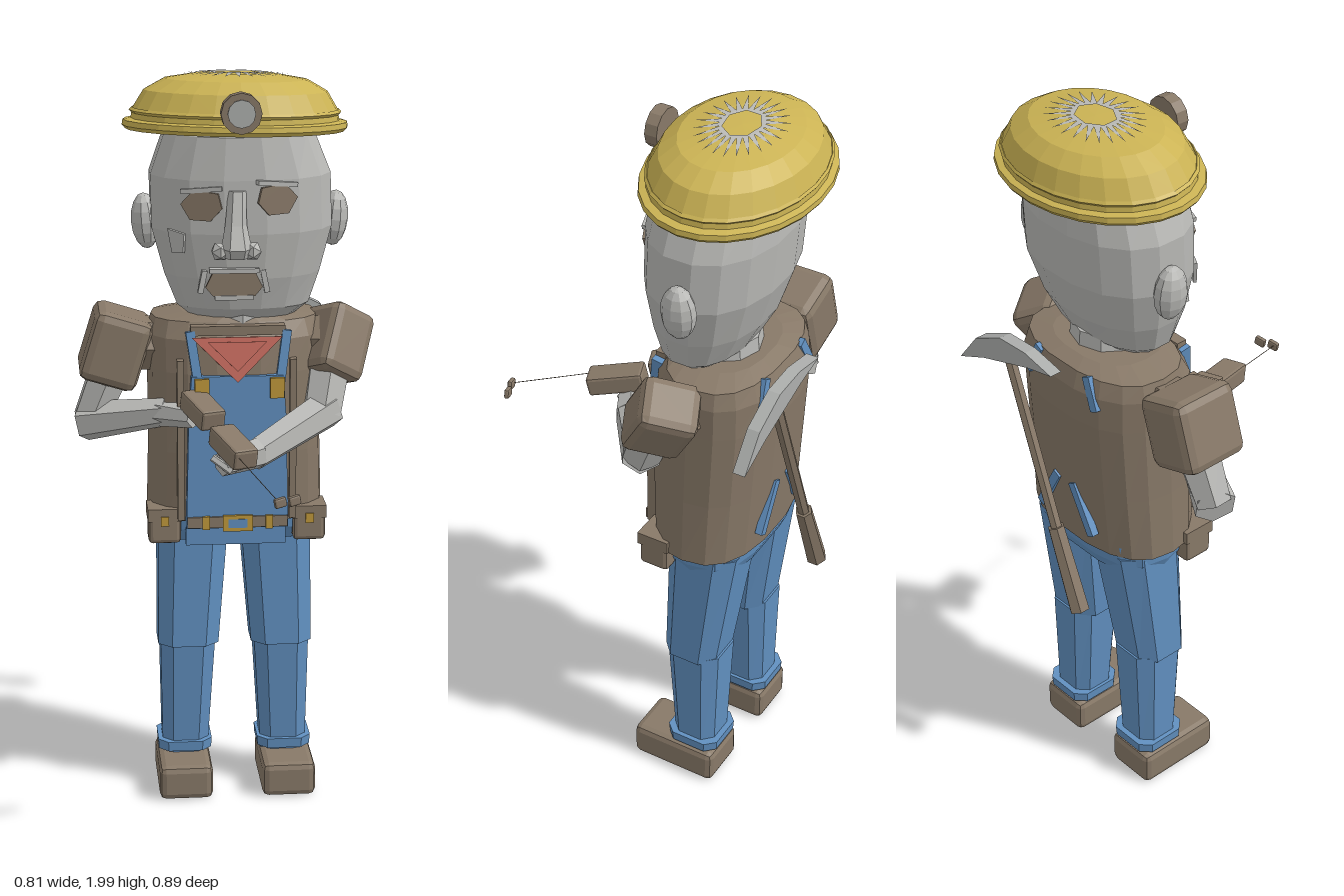
import * as THREE from 'three';
import { RoundedBoxGeometry } from 'three/addons/geometries/RoundedBoxGeometry.js';

const mat = (name, color) => Object.assign(new THREE.MeshStandardMaterial({ color }), { name });
const M = {
  skin: mat('grey skin', 0xb9b9b6),
  brown: mat('brown leather', 0x887968),
  blue: mat('denim blue', 0x6190c0),
  yellow: mat('helmet yellow', 0xcbb354),
  gold: mat('buckle gold', 0xc0993c),
  red: mat('bandana red', 0xc4695c),
  steel: mat('steel', 0xadafad),
};
M.steel.side = THREE.DoubleSide;

const V = (a) => new THREE.Vector3(...a);

export function createModel() {
  const root = new THREE.Group();
  root.name = 'miner';

  // faceted mesh
  function add(name, geo, material, pos = [0, 0, 0], rot = [0, 0, 0], parent = root) {
    const g = geo.index ? geo.toNonIndexed() : geo;
    g.computeVertexNormals();
    const m = new THREE.Mesh(g, material);
    m.name = name;
    m.position.set(...pos);
    m.rotation.set(...rot);
    parent.add(m);
    return m;
  }
  const box = (name, size, material, pos, rot) => add(name, new THREE.BoxGeometry(...size), material, pos, rot);
  const chamfer = (name, size, r, material, pos, rot) =>
    add(name, new RoundedBoxGeometry(...size, 1, r), material, pos, rot);

  // turn a mesh so that its local y runs from b up to a
  function along(mesh, a, b) {
    const A = V(a), B = V(b);
    mesh.position.copy(A).add(B).multiplyScalar(0.5);
    mesh.quaternion.setFromUnitVectors(new THREE.Vector3(0, 1, 0), A.clone().sub(B).normalize());
    return mesh;
  }
  const limb = (name, a, b, ra, rb, material, sides = 6) =>
    along(add(name, new THREE.CylinderGeometry(ra, rb, V(a).distanceTo(V(b)), sides), material), a, b);

  // stacked superellipse rings: [y, centre x, half width, back z, front z]
  function loft(rings, n, power = 2) {
    const pos = [], idx = [];
    const bend = (v) => Math.sign(v) * Math.abs(v) ** (2 / power);
    for (const [y, cx, hw, zb, zf] of rings)
      for (let i = 0; i < n; i++) {
        const a = ((i + 0.5) / n) * Math.PI * 2;
        pos.push(cx + hw * bend(Math.sin(a)), y, (zb + zf) / 2 + ((zf - zb) / 2) * bend(Math.cos(a)));
      }
    const last = rings.length - 1;
    for (let r = 0; r < last; r++)
      for (let i = 0; i < n; i++) {
        const a = r * n + i, b = r * n + ((i + 1) % n);
        idx.push(a, b, b + n, a, b + n, a + n);
      }
    for (let i = 1; i < n - 1; i++) {
      idx.push(0, i + 1, i);
      idx.push(last * n, last * n + i, last * n + i + 1);
    }
    const g = new THREE.BufferGeometry();
    g.setAttribute('position', new THREE.Float32BufferAttribute(pos, 3));
    g.setIndex(idx);
    return g;
  }
  function plate(points, depth) {
    const s = new THREE.Shape(points.map((p) => new THREE.Vector2(...p)));
    return new THREE.ExtrudeGeometry(s, { depth, bevelEnabled: false });
  }

  // boots and legs
  for (const s of [-1, 1]) {
    const c = (off) => 0.04 + s * off;
    chamfer('boot', [0.148, 0.098, 0.248], 0.018, M.brown, [c(0.143), 0.055, -0.163]);
    add('lowerLeg', loft([[0.1, c(0.138), 0.066, -0.275, -0.148], [0.44, c(0.13), 0.08, -0.285, -0.12]], 8, 3), M.blue);
    add('upperLeg', loft([[0.43, c(0.129), 0.088, -0.278, -0.116], [0.8, c(0.112), 0.102, -0.33, -0.12]], 8, 3), M.blue);
    add('trouserCuff', loft([[0.112, c(0.139), 0.076, -0.29, -0.135], [0.14, c(0.139), 0.078, -0.292, -0.133]], 8, 4), M.blue);
  }
  add('trouserSeat', loft([[0.745, 0.04, 0.205, -0.325, -0.1], [0.78, 0.04, 0.22, -0.34, -0.08], [0.84, 0.04, 0.225, -0.345, -0.07]], 14, 3), M.blue);

  // vest, bib and neck
  add('vest', loft([
    [0.81, 0.042, 0.24, -0.352, -0.058], [1.0, 0.042, 0.235, -0.365, -0.048], [1.22, 0.042, 0.235, -0.378, -0.048],
    [1.31, 0.042, 0.236, -0.376, -0.058], [1.355, 0.042, 0.224, -0.36, -0.085], [1.37, 0.045, 0.15, -0.32, -0.1],
  ], 18, 2.5), M.brown);
  add('neck', new THREE.CylinderGeometry(0.1, 0.11, 0.1, 10), M.skin, [0.055, 1.36, -0.19]);
  add('bib', plate([[-0.137, -0.21], [0.137, -0.21], [0.13, 0.1], [0.122, 0.21], [-0.122, 0.21], [-0.13, 0.1]], 0.04), M.blue, [0.037, 1.01, -0.078]);
  box('bibFoot', [0.27, 0.08, 0.03], M.blue, [0.035, 0.785, -0.08]);
  for (const s of [-1, 1]) {
    const x = 0.042 + s * 0.118;
    box('strap', [0.024, 0.15, 0.03], M.blue, [x, 1.262, -0.062], [-0.15, 0, -s * 0.14]);
    box('strapBuckle', [0.038, 0.055, 0.012], M.gold, [0.042 + s * 0.1, 1.188, -0.034]);
    box('vestEdge', [0.018, 0.44, 0.03], M.brown, [0.037 + s * 0.15, 1.04, -0.066]);
    // crossed straps showing through the back
    box('backStrap', [0.025, 0.15, 0.02], M.blue, [0.042 + s * 0.065, 0.93, -0.359], [0, 0, s * 0.5]);
    box('shoulderStrap', [0.025, 0.09, 0.014], M.blue, [0.042 + s * 0.11, 1.315, -0.36], [0.1, 0, s * 0.45]);
  }

  // bandana
  const kerchief = [[-0.12, 0.06], [0, -0.06], [0.12, 0.06]];
  add('bandana', plate(kerchief, 0.012), M.red, [0.037, 1.262, -0.05], [-0.2, 0, 0]);
  add('bandanaFold', plate(kerchief.map(([x, y]) => [x * 0.65, y * 0.65 + 0.01]), 0.008), M.red, [0.037, 1.262, -0.041], [-0.2, 0, 0]);
  box('collar', [0.25, 0.025, 0.03], M.brown, [0.04, 1.338, -0.075]);

  // belt and pouches
  box('belt', [0.27, 0.03, 0.03], M.brown, [0.037, 0.818, -0.047]);
  box('beltBuckle', [0.08, 0.044, 0.009], M.gold, [0.037, 0.816, -0.03]);
  box('beltBuckleCentre', [0.05, 0.024, 0.006], M.blue, [0.037, 0.816, -0.027]);
  for (const s of [-1, 1]) {
    const x = 0.04 + s * 0.196;
    box('beltLoop', [0.02, 0.036, 0.009], M.gold, [0.037 + s * 0.085, 0.818, -0.03]);
    chamfer('pouch', [0.088, 0.098, 0.085], 0.012, M.brown, [x, 0.795, -0.118]);
    box('pouchFlap', [0.092, 0.035, 0.09], M.brown, [x, 0.828, -0.117]);
    box('pouchClasp', [0.022, 0.026, 0.008], M.gold, [x, 0.812, -0.071]);
  }

  // sleeves and arms
  function sleeve(a, b, twist, size) {
    const m = along(chamfer('sleeve', size, 0.025, M.brown), a, b);
    m.rotateY(twist);
  }
  sleeve([-0.252, 1.355, -0.215], [-0.307, 1.18, -0.215], 0, [0.16, 0.195, 0.185]);
  sleeve([0.335, 1.355, -0.21], [0.28, 1.19, -0.11], 0.5, [0.14, 0.195, 0.155]);
  limb('shoulder', [-0.12, 1.27, -0.21], [-0.26, 1.28, -0.215], 0.07, 0.08, M.brown);
  limb('shoulder', [0.2, 1.27, -0.2], [0.31, 1.28, -0.165], 0.07, 0.08, M.brown);
  limb('upperArm', [-0.29, 1.21, -0.215], [-0.35, 1.065, -0.21], 0.06, 0.05, M.skin);
  limb('upperArm', [0.29, 1.22, -0.125], [0.265, 1.1, -0.075], 0.06, 0.055, M.skin);
  limb('forearm', [-0.365, 1.06, -0.215], [-0.145, 1.11, -0.105], 0.056, 0.038, M.skin);
  limb('forearm', [0.285, 1.115, -0.09], [0.07, 1.035, 0.075], 0.055, 0.042, M.skin);
  limb('hand', [-0.16, 1.105, -0.11], [-0.08, 1.115, -0.02], 0.036, 0.028, M.skin);
  limb('hand', [0.08, 1.04, 0.07], [-0.02, 1.03, 0.13], 0.042, 0.034, M.skin);
  for (let i = 0; i < 3; i++)
    limb('finger', [0.005 + i * 0.018, 1.015, 0.15 - i * 0.02], [-0.045 + i * 0.018, 1.05, 0.135 - i * 0.02], 0.011, 0.01, M.skin, 5);

  // two-part handheld device with a cord and ear pieces
  for (const [p, len] of [[[-0.06, 1.145, 0.012], 0.14], [[0.008, 1.083, 0.155], 0.155]]) {
    const m = chamfer('handheldDevice', [0.07, 0.055, len], 0.008, M.brown, p);
    m.rotation.set(0.22, 0.37, 0, 'YXZ');
  }
  limb('cord', [0.01, 1.08, 0.22], [0.095, 1.02, 0.43], 0.001, 0.001, M.brown, 4);
  for (const p of [[0.1, 1.018, 0.434], [0.137, 1.018, 0.42]])
    chamfer('earPiece', [0.032, 0.026, 0.014], 0.005, M.brown, p, [0, 0.25, 0.2]);

  // head
  add('head', loft([
    [1.36, 0.06, 0.135, -0.235, -0.1], [1.395, 0.06, 0.178, -0.275, -0.062], [1.48, 0.058, 0.21, -0.32, -0.038],
    [1.6, 0.058, 0.243, -0.358, -0.022], [1.74, 0.055, 0.242, -0.368, -0.024], [1.85, 0.052, 0.2, -0.36, -0.036],
    [1.95, 0.048, 0.11, -0.29, -0.14],
  ], 16, 2.2), M.skin);
  for (const s of [-1, 1])
    add('ear', new THREE.SphereGeometry(1, 10, 8).scale(0.038, 0.075, 0.046), M.skin, [0.058 + s * 0.252, 1.608, -0.21], [0, 0, -s * 0.08]);

  // eyes, brows and cheeks
  const eye = [[-0.055, 0.005], [-0.03, -0.036], [0.025, -0.038], [0.055, -0.005], [0.045, 0.034], [-0.02, 0.042]];
  for (const [x, y, z, s] of [[-0.056, 1.674, -0.045, -1], [0.138, 1.69, -0.032, 1]]) {
    add('eye', plate(eye.map(([a, b]) => [-s * a, b]), 0.009), M.brown, [x, y, z], [0, s * 0.3, 0]);
    box('brow', [0.11, 0.012, 0.02], M.skin, [x, y + 0.042, z], [0, s * 0.3, -s * 0.1]);
    add('cheek', plate([[-0.025, 0.03], [-0.012, -0.032], [0.022, -0.03], [0.025, 0.02]], 0.009), M.skin,
      [s < 0 ? -0.118 : 0.182, 1.58, -0.07], [0, s * 0.6, 0]);
  }

  // nose
  add('nose', loft([[1.545, 0.03, 0.034, -0.04, 0.03], [1.57, 0.03, 0.04, -0.04, 0.046], [1.63, 0.03, 0.028, -0.05, 0.02], [1.715, 0.035, 0.024, -0.05, -0.01]], 6), M.skin);
  for (const s of [-1, 1])
    add('nostril', new THREE.IcosahedronGeometry(0.026, 0), M.skin, [0.03 + s * 0.042, 1.562, -0.005]);

  // mouth
  add('mouth', plate([[-0.075, -0.01], [-0.055, -0.034], [0.055, -0.034], [0.075, -0.01], [0.055, 0.03], [-0.055, 0.03]], 0.009), M.brown, [0.027, 1.472, -0.038]);
  box('upperLip', [0.13, 0.012, 0.025], M.skin, [0.027, 1.506, -0.032]);
  box('lowerLip', [0.1, 0.012, 0.025], M.skin, [0.027, 1.434, -0.038]);
  for (const s of [-1, 1]) box('lipCorner', [0.014, 0.06, 0.02], M.skin, [0.027 + s * 0.082, 1.475, -0.044], [0, 0, s * 0.2]);

  // helmet: oval dome with a flange
  const helmet = new THREE.Group();
  helmet.name = 'helmet';
  helmet.position.set(0.046, 1.85, -0.222);
  helmet.rotation.set(-0.045, 0, -0.02);
  helmet.scale.z = 0.735;
  root.add(helmet);
  const profile = [[0, 0.01], [0.24, 0.01], [0.29, -0.004], [0.299, 0.006], [0.297, 0.02], [0.276, 0.024], [0.272, 0.05],
    [0.243, 0.098], [0.19, 0.128], [0.1, 0.143], [0, 0.145]].map((p) => new THREE.Vector2(...p));
  add('helmetShell', new THREE.LatheGeometry(profile, 24), M.yellow, [0, 0, 0], [0, 0, 0], helmet);
  add('helmetRib', new THREE.TorusGeometry(0.274, 0.007, 4, 24).rotateX(Math.PI / 2), M.yellow, [0, 0.045, 0], [0, 0, 0], helmet);
  // star-shaped inlay following the crown
  const star = new THREE.Shape();
  for (let i = 0; i < 48; i++) {
    const a = (i / 48) * Math.PI * 2, r = i % 2 ? 0.068 : 0.145;
    star[i ? 'lineTo' : 'moveTo'](r * Math.cos(a), r * Math.sin(a));
  }
  star.holes.push(new THREE.Path().setFromPoints([0, 1, 2, 3, 4, 5, 6].map((i) =>
    new THREE.Vector2(0.06 * Math.cos(-i * Math.PI * 2 / 7), 0.06 * Math.sin(-i * Math.PI * 2 / 7)))));
  const inlay = new THREE.ShapeGeometry(star).rotateX(-Math.PI / 2);
  const p = inlay.attributes.position;
  for (let i = 0; i < p.count; i++) p.setY(i, -0.15 * Math.max(0, Math.hypot(p.getX(i), p.getZ(i)) - 0.1));
  add('crownStar', inlay, M.skin, [0, 0.147, 0], [0, 0, 0], helmet);

  // head lamp
  add('lampHousing', new THREE.CylinderGeometry(0.053, 0.053, 0.034, 12), M.brown, [0.042, 1.918, -0.004], [Math.PI / 2, 0, 0]);
  add('lampLens', new THREE.CylinderGeometry(0.036, 0.036, 0.008, 12), M.steel, [0.042, 1.918, 0.014], [Math.PI / 2, 0, 0]);

  // pickaxe slung on the back
  limb('pickaxeHandle', [0.19, 1.34, -0.415], [-0.06, 0.67, -0.42], 0.016, 0.016, M.brown);
  limb('pickaxeGrip', [0.018, 0.88, -0.419], [-0.07, 0.655, -0.42], 0.023, 0.028, M.brown);
  add('pickaxeHead', plate([[0.37, 1.24], [0.3, 1.33], [0.2, 1.38], [0.1, 1.385], [0.0, 1.365], [0.09, 1.345], [0.18, 1.315], [0.27, 1.285]], 0.034), M.steel, [0, 0, -0.432]);

  return root;
}
